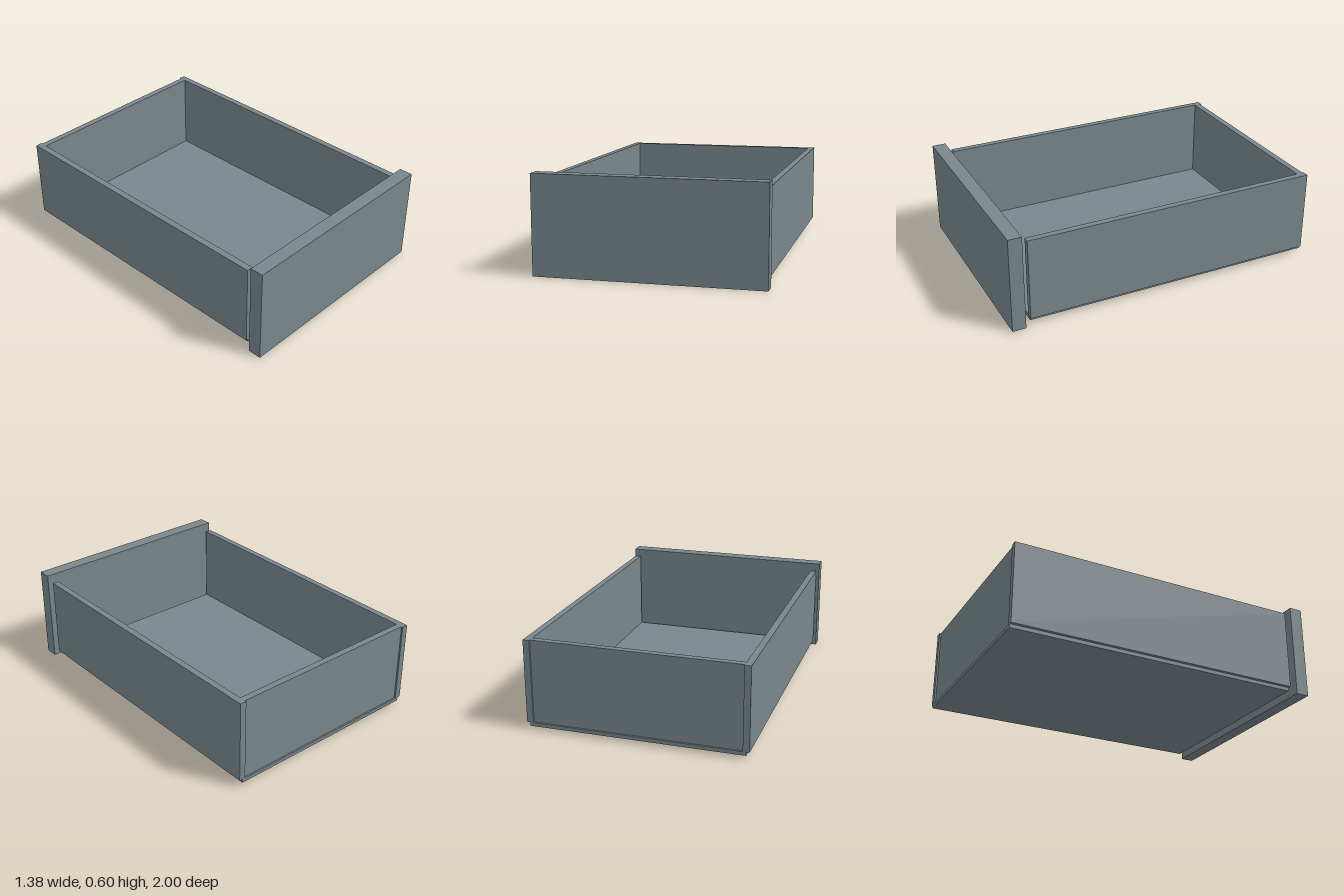
import * as THREE from 'three';

// Box panel given by its minimum and maximum corners
function panel(name, material, [x0, y0, z0], [x1, y1, z1]) {
  const mesh = new THREE.Mesh(new THREE.BoxGeometry(x1 - x0, y1 - y0, z1 - z0), material);
  mesh.position.set((x0 + x1) / 2, (y0 + y1) / 2, (z0 + z1) / 2);
  mesh.name = name;
  return mesh;
}

export function createModel() {
  const model = new THREE.Group();
  model.name = 'drawer';
  const slate = new THREE.MeshStandardMaterial({ color: 0x7a878d });
  slate.name = 'slate grey';

  const outer = 0.675, inner = 0.635, floorTop = 0.045, rim = 0.56;

  // Front panel, standing clear of the tray
  model.add(panel('frontPanel', slate, [-0.69, 0, 0.915], [0.69, 0.603, 1]));

  // Side walls
  model.add(panel('leftSide', slate, [inner, floorTop, -1], [outer, rim, 0.88]));
  model.add(panel('rightSide', slate, [-outer, floorTop, -1], [-inner, rim, 0.88]));

  // Back wall, set slightly in between the sides
  model.add(panel('backWall', slate, [-inner, floorTop, -0.99], [inner, rim, -0.95]));

  // Bottom board under the walls, a little narrower than the tray
  model.add(panel('bottomBoard', slate, [-0.655, 0.022, -1], [0.655, floorTop, 0.877]));

  return model;
}
